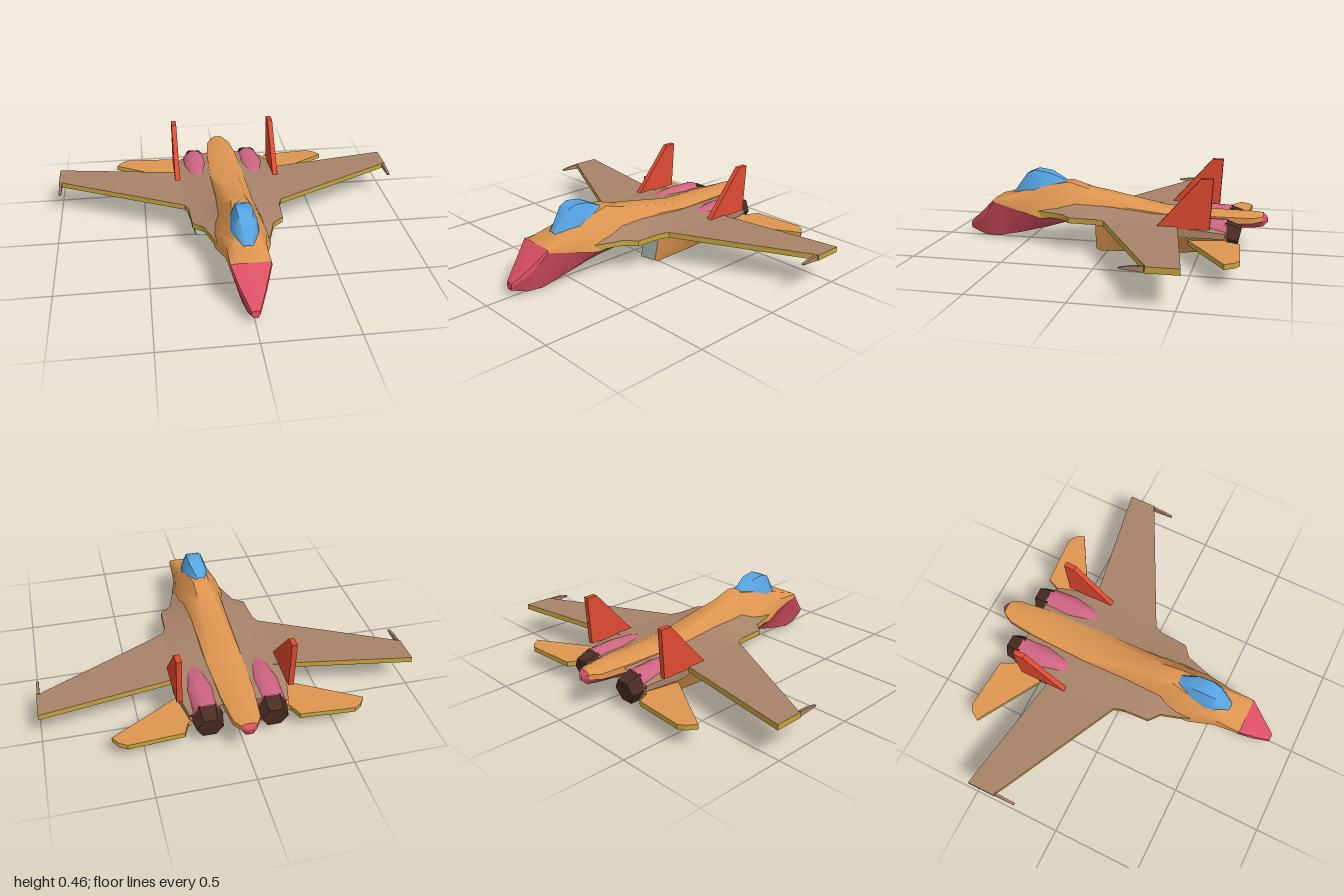
import * as THREE from 'three';
import { toCreasedNormals } from 'three/addons/utils/BufferGeometryUtils.js';

const mat = (name, color, side = THREE.FrontSide) => {
  const m = new THREE.MeshStandardMaterial({ color, side });
  m.name = name;
  return m;
};

// Skin through rings ordered nose to tail; each ring is { z, p: [[x, y], ...] }
function loft(rings, crease = 0.6) {
  const pos = [], idx = [], n = rings[0].p.length;
  rings.forEach(({ z, p }) => p.forEach(([x, y]) => pos.push(x, y, z)));
  for (let i = 0; i < rings.length - 1; i++) {
    for (let j = 0; j < n - 1; j++) {
      const a = i * n + j, b = a + 1, c = a + n, d = c + 1;
      idx.push(a, b, c, b, d, c);
    }
  }
  const g = new THREE.BufferGeometry();
  g.setAttribute('position', new THREE.Float32BufferAttribute(pos, 3));
  g.setIndex(idx);
  return toCreasedNormals(g, crease);
}

// Flat cap on a ring, seen from the front or from the back
function cap(ring, front) {
  const n = ring.p.length;
  const mid = [0, 1].map(k => ring.p.reduce((s, q) => s + q[k], 0) / n);
  const centre = { z: ring.z, p: ring.p.map(() => mid) };
  return loft(front ? [centre, ring] : [ring, centre]);
}

// Copy of a non-indexed geometry on the other side
function mirrored(g) {
  const m = g.clone().scale(-1, 1, 1);
  for (const key of ['position', 'normal']) {
    const a = m.attributes[key].array;
    for (let i = 0; i < a.length; i += 9) {
      for (let k = 3; k < 6; k++) [a[i + k], a[i + k + 3]] = [a[i + k + 3], a[i + k]];
    }
  }
  return m;
}

const outline = pts => new THREE.Shape(pts.map(([a, b]) => new THREE.Vector2(a, b)));

// Horizontal plate from [x, z] points
const plate = (pts, y, depth) =>
  new THREE.ExtrudeGeometry(outline(pts.map(([x, z]) => [x, -z])), { depth, bevelEnabled: false })
    .rotateX(-Math.PI / 2).translate(0, y, 0);

// Upright plate from [z, y] points
const uprightPlate = (pts, x, depth) =>
  new THREE.ExtrudeGeometry(outline(pts), { depth, bevelEnabled: false })
    .rotateY(-Math.PI / 2).translate(x + depth, 0, 0);

export function createModel() {
  const orange = mat('orange', 0xdf9650), rose = mat('rose', 0xdc5063, THREE.DoubleSide);
  const brown = mat('brown', 0xa88369), gold = mat('gold', 0xc6a43c);
  const red = mat('red', 0xe04a31), pink = mat('pink', 0xcf6582);
  const blue = mat('blue', 0x57a5e4), dark = mat('dark brown', 0x4a2c23);
  const grey = mat('pale grey', 0xbccdc2);

  const model = new THREE.Group();
  const add = (name, g, m) => {
    const mesh = new THREE.Mesh(g, m);
    mesh.name = name;
    model.add(mesh);
  };
  const pair = (name, g, m) => {
    add(name + 'Left', g, m);
    add(name + 'Right', mirrored(g), m);
  };

  // Fuselage stations: z, top y, top w, shoulder y, w, colour split y, w, belly y, w
  const stations = [
    [0.86, 0.09, 0.01, 0.085, 0.02, 0.07, 0.022, 0.05, 0.012],
    [0.77, 0.17, 0.05, 0.165, 0.065, 0.13, 0.065, 0.02, 0.03],
    [0.685, 0.253, 0.08, 0.25, 0.103, 0.235, 0.107, 0.02, 0.045],
    [0.54, 0.295, 0.065, 0.255, 0.103, 0.195, 0.11, 0.052, 0.05],
    [0.4, 0.335, 0.065, 0.255, 0.125, 0.168, 0.15, 0.09, 0.06],
    [0.25, 0.36, 0.045, 0.285, 0.1, 0.175, 0.16, 0.137, 0.07],
    [0.12, 0.32, 0.045, 0.265, 0.1, 0.175, 0.13, 0.148, 0.08],
    [0.05, 0.308, 0.05, 0.255, 0.1, 0.175, 0.12, 0.15, 0.08],
    [-0.3, 0.235, 0.06, 0.218, 0.1, 0.175, 0.1, 0.14, 0.08],
    [-0.6, 0.23, 0.04, 0.215, 0.09, 0.175, 0.09, 0.145, 0.06],
    [-0.78, 0.23, 0.03, 0.21, 0.07, 0.18, 0.07, 0.15, 0.03],
    [-0.835, 0.228, 0.02, 0.215, 0.04, 0.19, 0.04, 0.157, 0.02],
    [-0.86, 0.205, 0.004, 0.2, 0.008, 0.19, 0.008, 0.18, 0.004],
  ];
  const upper = stations.map(([z, yt, wt, ys, ws, ym, wm]) =>
    ({ z, p: [[-wm, ym], [-ws, ys], [-wt, yt], [wt, yt], [ws, ys], [wm, ym]] }));
  const lower = stations.map(([z, , , , , ym, wm, yb, wb]) =>
    ({ z, p: [[wm, ym], [wb, yb], [-wb, yb], [-wm, ym]] }));
  add('noseTop', loft(upper.slice(0, 3)), rose);
  add('noseTip', cap({ z: 0.86, p: [...upper[0].p, ...lower[0].p] }, true), rose);
  add('spine', loft(upper.slice(2, 12), 0.9), orange);
  add('tailTip', loft(upper.slice(11)), rose);
  add('belly', loft(lower), rose);

  // Canopy: z, base y, base w, mid y, mid w, top y, top w
  const canopy = [
    [0.585, 0.275, 0.025, 0.285, 0.02, 0.29, 0.01],
    [0.5, 0.285, 0.07, 0.34, 0.062, 0.4, 0.036],
    [0.45, 0.3, 0.077, 0.355, 0.067, 0.42, 0.042],
    [0.37, 0.325, 0.068, 0.365, 0.058, 0.408, 0.04],
    [0.275, 0.35, 0.03, 0.355, 0.025, 0.363, 0.015],
  ].map(([z, y0, w0, y1, w1, y2, w2]) =>
    ({ z, p: [[-w0, y0], [-w1, y1], [-w2, y2], [w2, y2], [w1, y1], [w0, y0]] }));
  add('canopy', loft(canopy, 0.9), blue);

  // Blended wing root: z, inner y, mid y, edge w, edge top, edge bottom
  const roots = [
    [0.41, 0.21, 0.207, 0.14, 0.205, 0.175],
    [0.25, 0.265, 0.23, 0.19, 0.205, 0.175],
    [0.2, 0.265, 0.226, 0.25, 0.205, 0.175],
    [0.05, 0.25, 0.224, 0.258, 0.205, 0.175],
    [0, 0.245, 0.222, 0.275, 0.205, 0.175],
    [-0.3, 0.215, 0.212, 0.3, 0.205, 0.17],
    [-0.45, 0.213, 0.207, 0.305, 0.195, 0.15],
    [-0.65, 0.205, 0.19, 0.26, 0.165, 0.135],
  ];
  const strip = f => roots.map(r => ({ z: r[0], p: f(r) }));
  pair('wingRoot', loft(strip(([, yi, ym, w, yt]) =>
    [[0.085, yi], [0.085 + (w - 0.085) * 0.5, ym], [w, yt]])), brown);
  const edge = strip(([, , , w, yt, yb]) => [[w, yt], [w, yb]]);
  pair('wingRootEdge', loft(edge.slice(0, 6)), gold);
  pair('rearShoulder', loft(edge.slice(5)), brown);
  pair('wingRootUnderside', loft(strip(([, , , w, , yb]) => [[w, yb], [0.085, yb]])), rose);

  // Main wings with forward-pointing tip rails
  pair('wing', plate([[0.2, 0.04], [0.275, 0], [0.95, -0.34], [0.985, -0.36], [1, -0.36],
    [1, -0.52], [0.3, -0.405], [0.2, -0.4]], 0.175, 0.03), [brown, gold]);
  pair('wingTipRail', uprightPlate([[-0.355, 0.176], [-0.355, 0.205], [-0.3, 0.203],
    [-0.24, 0.192], [-0.24, 0.186]], 0.982, 0.014), brown);

  // Tailplanes and twin fins
  pair('tailplane', plate([[0.23, -0.44], [0.305, -0.47], [0.66, -0.68], [0.63, -0.725],
    [0.59, -0.75], [0.3, -0.73], [0.27, -0.66], [0.23, -0.64]], 0.103, 0.027), [orange, gold]);
  pair('tailFin', uprightPlate([[-0.29, 0.195], [-0.525, 0.465], [-0.587, 0.465],
    [-0.573, 0.195]], 0.281, 0.029), red);

  // Nacelles: z, inner top x, outer top x, top y, outer low x, y, inner low x, y
  const nacelle = [
    [0.05, 0.125, 0.245, 0.175, 0.22, 0.035, 0.11, 0.02],
    [0.03, 0.12, 0.25, 0.18, 0.222, 0.024, 0.108, 0.008],
    [-0.2, 0.1, 0.288, 0.178, 0.23, 0.033, 0.1, 0.014],
    [-0.45, 0.095, 0.303, 0.155, 0.235, 0.048, 0.1, 0.032],
    [-0.66, 0.1, 0.258, 0.145, 0.22, 0.07, 0.115, 0.06],
  ].map(([z, xi, xo, yt, xl, yl, xb, yb]) =>
    ({ z, p: [[xi, yt], [xo, yt], [xl, yl], [xb, yb], [xi, yt]] }));
  pair('nacelle', loft(nacelle), orange);
  pair('nacelleBack', cap(nacelle[4], false), orange);
  pair('intake', cap(nacelle[0], true), grey);

  // Engine humps: z, centre x, half width, base y, top y
  const hump = [
    [-0.31, 0.175, 0.02, 0.19, 0.208],
    [-0.38, 0.173, 0.055, 0.18, 0.221],
    [-0.5, 0.172, 0.078, 0.17, 0.228],
    [-0.655, 0.17, 0.075, 0.14, 0.222],
  ].map(([z, x, w, y, t]) => ({
    z,
    p: Array.from({ length: 9 }, (_, i) => {
      const a = Math.PI * (1 - i / 8);
      return [x + w * Math.cos(a), y + (t - y) * Math.sin(a)];
    }),
  }));
  pair('engineHump', loft(hump, 0.9), pink);
  pair('engineHumpBack', cap(hump[3], false), pink);

  // Drooped six-sided exhausts
  const exhaust = new THREE.CylinderGeometry(0.07, 0.084, 0.09, 6).toNonIndexed();
  exhaust.computeVertexNormals();
  exhaust.rotateY(Math.PI / 6).rotateX(-Math.PI / 2 - 0.2).translate(0.17, 0.135, -0.675);
  pair('exhaust', exhaust, dark);

  return model;
}
